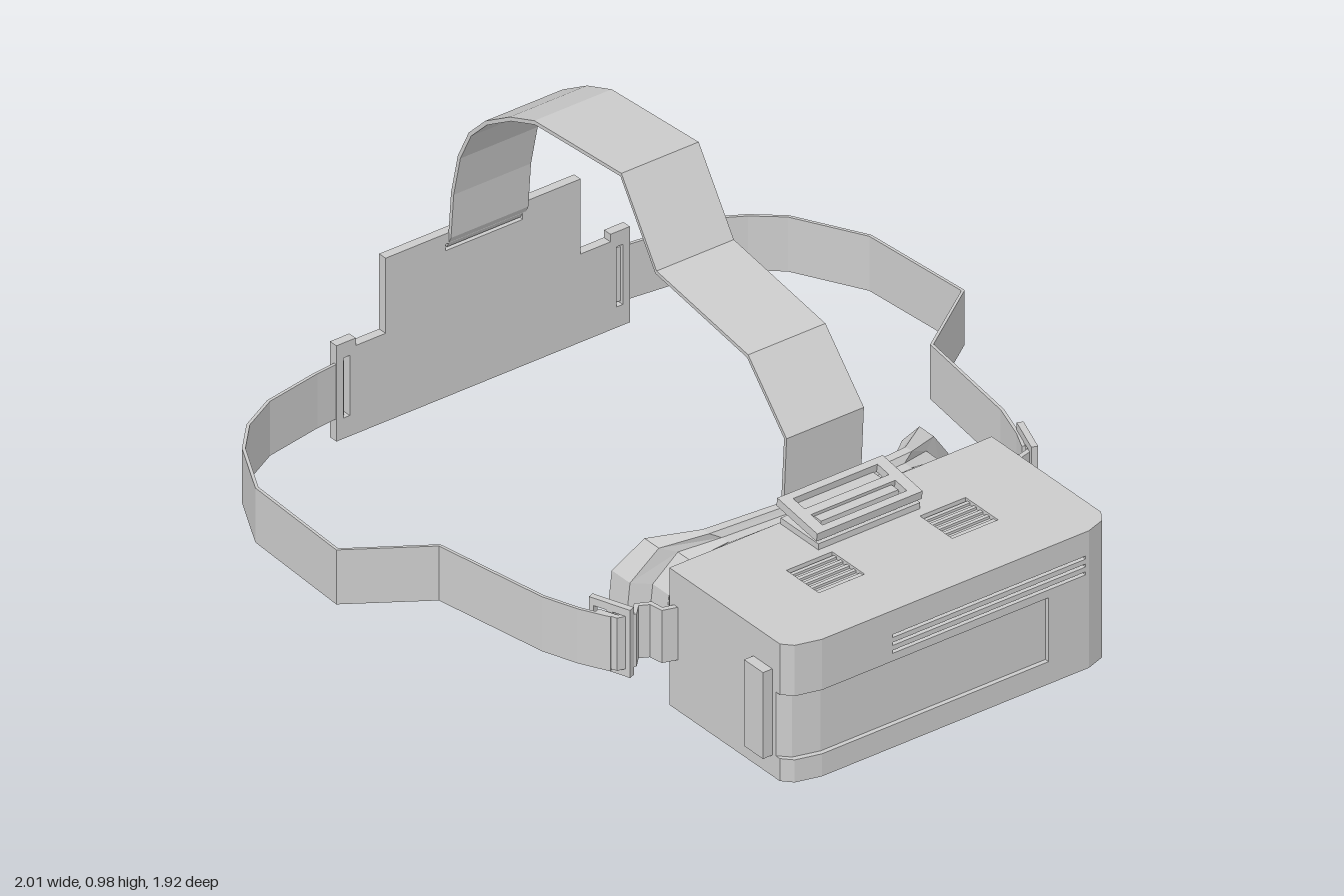
import * as THREE from 'three';

const MID = -0.02; // centre line of the headset in its own frame

const grey = () => new THREE.MeshStandardMaterial({ color: 0xcccccc, flatShading: true, side: THREE.DoubleSide });
const smoothGrey = () => new THREE.MeshStandardMaterial({ color: 0xcccccc, side: THREE.DoubleSide });

function add(parent, name, geometry, material = grey()) {
  const mesh = new THREE.Mesh(geometry, material);
  mesh.name = name;
  parent.add(mesh);
  return mesh;
}

function box(parent, name, size, pos) {
  const mesh = add(parent, name, new THREE.BoxGeometry(...size));
  mesh.position.set(...pos);
  return mesh;
}

const toShape = pts => new THREE.Shape(pts.map(p => new THREE.Vector2(p[0], p[1])));
const rectangle = (x0, x1, y0, y1) => [[x0, y0], [x1, y0], [x1, y1], [x0, y1]];
const extrude = (shape, depth) => new THREE.ExtrudeGeometry(shape, { depth, bevelEnabled: false });

// Outline with rectangular holes, extruded along z
function plateGeometry(outline, holes, depth) {
  const shape = toShape(outline);
  shape.holes = holes.map(toShape);
  return extrude(shape, depth);
}

// Plan outline [x, z] raised from y0 to y1
function planGeometry(plan, y0, y1, holes = []) {
  const flip = pts => pts.map(([x, z]) => [x, -z]);
  return plateGeometry(flip(plan), holes.map(flip), y1 - y0).rotateX(-Math.PI / 2).translate(0, y0, 0);
}

// Closed outline of a polyline given a thickness
function ribbonOutline(pts, t) {
  const side = [[], []];
  pts.forEach((p, i) => {
    const a = pts[Math.max(i - 1, 0)], b = pts[Math.min(i + 1, pts.length - 1)];
    const dx = b[0] - a[0], dy = b[1] - a[1], l = Math.hypot(dx, dy);
    const nx = -dy / l * t / 2, ny = dx / l * t / 2;
    side[0].push([p[0] + nx, p[1] + ny]);
    side[1].unshift([p[0] - nx, p[1] - ny]);
  });
  return [...side[0], ...side[1]];
}

// Housing: stacked layers, some cut back at the front for the panel and slits
function addHousing(parent) {
  const housing = new THREE.Group();
  housing.name = 'housing';
  parent.add(housing);
  const back = 0.52, front = 0.972;
  const right = [[-0.478, back], [-0.478, 0.93], [-0.455, 0.955], [-0.39, front]];
  const left = [[0.37, front], [0.42, 0.955], [0.44, 0.925], [0.44, back]];
  const full = [...right, ...left];
  const panel = [[-0.478, back], [-0.478, 0.915], [-0.452, 0.942], [-0.385, 0.96], [0.255, 0.96], [0.255, front], ...left];
  const slit = [...right, [-0.19, front], [-0.19, 0.955], [0.36, 0.955], [0.36, front], ...left];
  const layers = [[0.005, 0.065, full], [0.065, 0.235, panel], [0.235, 0.256, full]];
  for (const y of [0.256, 0.277, 0.298]) layers.push([y, y + 0.008, slit], [y + 0.008, y + 0.021, full]);
  layers.push([0.319, 0.358, full]);
  layers.forEach(([y0, y1, plan]) => add(housing, 'housingLayer', planGeometry(plan, y0, y1)));

  // Top cover with two grilles
  const vents = [-0.21, 0.17];
  add(housing, 'topCover', planGeometry(full, 0.358, 0.37,
    vents.map(u => rectangle(u - 0.065, u + 0.065, 0.69, 0.81))));
  for (const u of vents) {
    for (let i = 0; i < 5; i++) box(housing, 'grilleBar', [0.13, 0.007, 0.01], [u, 0.361, 0.702 + i * 0.024]);
  }
  box(housing, 'sideLatch', [0.035, 0.23, 0.07], [-0.487, 0.175, 0.867]);
}

// Face shroud: one mask outline repeated through stepped, flaring loops
function addShroud(parent) {
  const half = [[0, 0.35], [0.28, 0.355], [0.38, 0.33], [0.44, 0.25], [0.45, 0.16], [0.41, 0.08],
    [0.32, 0.03], [0.14, 0.03], [0.075, 0.09], [0, 0.12]];
  const outline = [...half, ...half.slice(1, -1).reverse().map(([u, y]) => [-u, y])];
  // scale, depth, backward flare at the temples
  const loops = [[0.98, 0.53, 0], [0.98, 0.495, 0.01], [0.93, 0.485, 0.03], [0.93, 0.465, 0.07], [1.03, 0.458, 0.09],
    [1.03, 0.44, 0.14], [0.9, 0.44, 0.14], [0.85, 0.50, 0], [0, 0.50, 0]];
  const point = ([s, w, flare], [u, y]) => {
    const k = THREE.MathUtils.clamp((Math.abs(u) - 0.26) / 0.17, 0, 1);
    return [MID + u * s, 0.19 + (y - 0.19) * s, w - flare * k];
  };
  const verts = [];
  for (let j = 0; j < loops.length - 1; j++) {
    outline.forEach((p, i) => {
      const q = outline[(i + 1) % outline.length];
      const a = point(loops[j], p), b = point(loops[j], q);
      const c = point(loops[j + 1], p), d = point(loops[j + 1], q);
      verts.push(...a, ...b, ...c);
      if (loops[j + 1][0] > 0) verts.push(...b, ...d, ...c);
    });
  }
  const geometry = new THREE.BufferGeometry();
  geometry.setAttribute('position', new THREE.Float32BufferAttribute(verts, 3));
  geometry.computeVertexNormals();
  add(parent, 'faceShroud', geometry);

  // Lens barrels and domed lenses
  const barrel = [[0.13, 0], [0.13, 0.035], [0.115, 0.04], [0.115, 0.06], [0.1, 0.06], [0.095, 0.035], [0.08, 0.03]];
  const lens = [0, 1, 2, 3, 4, 5].map(i => {
    const a = i / 5 * Math.PI / 2;
    return [0.082 * Math.cos(a), 0.025 + 0.035 * Math.sin(a)];
  });
  const turned = pts => new THREE.LatheGeometry(pts.map(p => new THREE.Vector2(Math.max(p[0], 0), p[1])), 32).rotateX(-Math.PI / 2);
  for (const s of [-1, 1]) {
    add(parent, 'lensBarrel', turned(barrel)).position.set(MID + s * 0.185, 0.19, 0.5);
    add(parent, 'lens', turned(lens), smoothGrey()).position.set(MID + s * 0.185, 0.19, 0.5);
  }
}

// Side buckles: wavy hook plus a barred frame
function addSideBuckles(parent) {
  const hook = [[0.61, 0.45], [0.59, 0.5], [0.55, 0.51], [0.525, 0.485], [0.495, 0.5], [0.49, 0.535], [0.44, 0.55]];
  for (const s of [-1, 1]) {
    const buckle = new THREE.Group();
    buckle.name = s < 0 ? 'rightBuckle' : 'leftBuckle';
    parent.add(buckle);
    const plan = ribbonOutline(hook.map(([u, w]) => [MID + s * u, w]), 0.014);
    add(buckle, 'hook', planGeometry(plan, 0.14, 0.28));
    const frame = plateGeometry(rectangle(-0.055, 0.055, 0.12, 0.3),
      [rectangle(-0.042, -0.008, 0.14, 0.28), rectangle(0.008, 0.042, 0.14, 0.28)], 0.016);
    const mesh = add(buckle, 'buckleFrame', frame);
    mesh.position.set(MID + s * 0.59, 0, 0.47);
    mesh.rotation.y = Math.PI / 2 - s * 0.35;
  }
}

// Buckle joining the head strap to the housing
function addTopBuckle(parent) {
  const buckle = new THREE.Group();
  buckle.name = 'topBuckle';
  parent.add(buckle);
  box(buckle, 'buckleBase', [0.29, 0.02, 0.14], [MID, 0.376, 0.595]);
  const frame = add(buckle, 'buckleFrame', planGeometry(rectangle(-0.15, 0.15, -0.075, 0.075), 0, 0.022,
    [rectangle(-0.12, 0.12, -0.055, -0.012), rectangle(-0.12, 0.12, 0.012, 0.055)]));
  frame.position.set(MID, 0.405, 0.59);
  frame.rotation.x = 0.15;
  box(buckle, 'strapEnd', [0.22, 0.012, 0.13], [MID, 0.41, 0.565]);
}

function addStraps(root, headset) {
  // Back plate with strap slots
  const plate = [[-0.46, 0.075], [0.375, 0.075], [0.375, 0.33], [0.32, 0.33], [0.32, 0.31], [0.235, 0.31], [0.235, 0.51],
    [-0.32, 0.51], [-0.32, 0.31], [-0.405, 0.31], [-0.405, 0.33], [-0.46, 0.33]];
  const slots = [rectangle(-0.15, 0.07, 0.465, 0.482), rectangle(-0.44, -0.422, 0.13, 0.29), rectangle(0.337, 0.355, 0.13, 0.29)];
  add(headset, 'backPlate', plateGeometry(plate, slots, 0.024)).position.z = -0.762;

  // Head strap, drawn as a side profile [z, y]
  const profile = [[-0.75, 0.47], [-0.735, 0.5], [-0.725, 0.62], [-0.7, 0.73], [-0.66, 0.81], [-0.6, 0.87], [-0.51, 0.925],
    [-0.42, 0.96], [-0.1, 0.98], [0.03, 0.785], [0.37, 0.73], [0.51, 0.58], [0.5, 0.41]];
  add(headset, 'headStrap', extrude(toShape(ribbonOutline(profile, 0.01)), 0.22).rotateY(-Math.PI / 2))
    .position.x = MID + 0.1;

  // Side straps, drawn in plan [x, z]
  const leftPath = [[-0.38, -0.735], [-0.35, -0.76], [-0.2, -0.91], [-0.12, -0.942], [-0.03, -0.96], [0.17, -0.925], [0.43, -0.75],
    [0.418, -0.51], [0.64, -0.28], [0.7, -0.19], [0.725, -0.14]];
  const rightPath = [[-0.855, -0.12], [-0.9, -0.05], [-0.975, 0.09], [-0.995, 0.2], [-0.98, 0.3], [-0.91, 0.455], [-0.67, 0.665],
    [-0.45, 0.592], [-0.17, 0.745], [-0.08, 0.775], [0, 0.79]];
  add(root, 'leftStrap', planGeometry(ribbonOutline(leftPath, 0.008), 0.135, 0.28));
  add(root, 'rightStrap', planGeometry(ribbonOutline(rightPath, 0.008), 0.135, 0.28));
}

export function createModel() {
  const root = new THREE.Group();
  root.name = 'headset';
  const headset = new THREE.Group();
  headset.name = 'headsetBody';
  headset.rotation.y = 0.902; // the headset is turned towards its left
  root.add(headset);
  addHousing(headset);
  addShroud(headset);
  addSideBuckles(headset);
  addTopBuckle(headset);
  addStraps(root, headset);
  return root;
}
